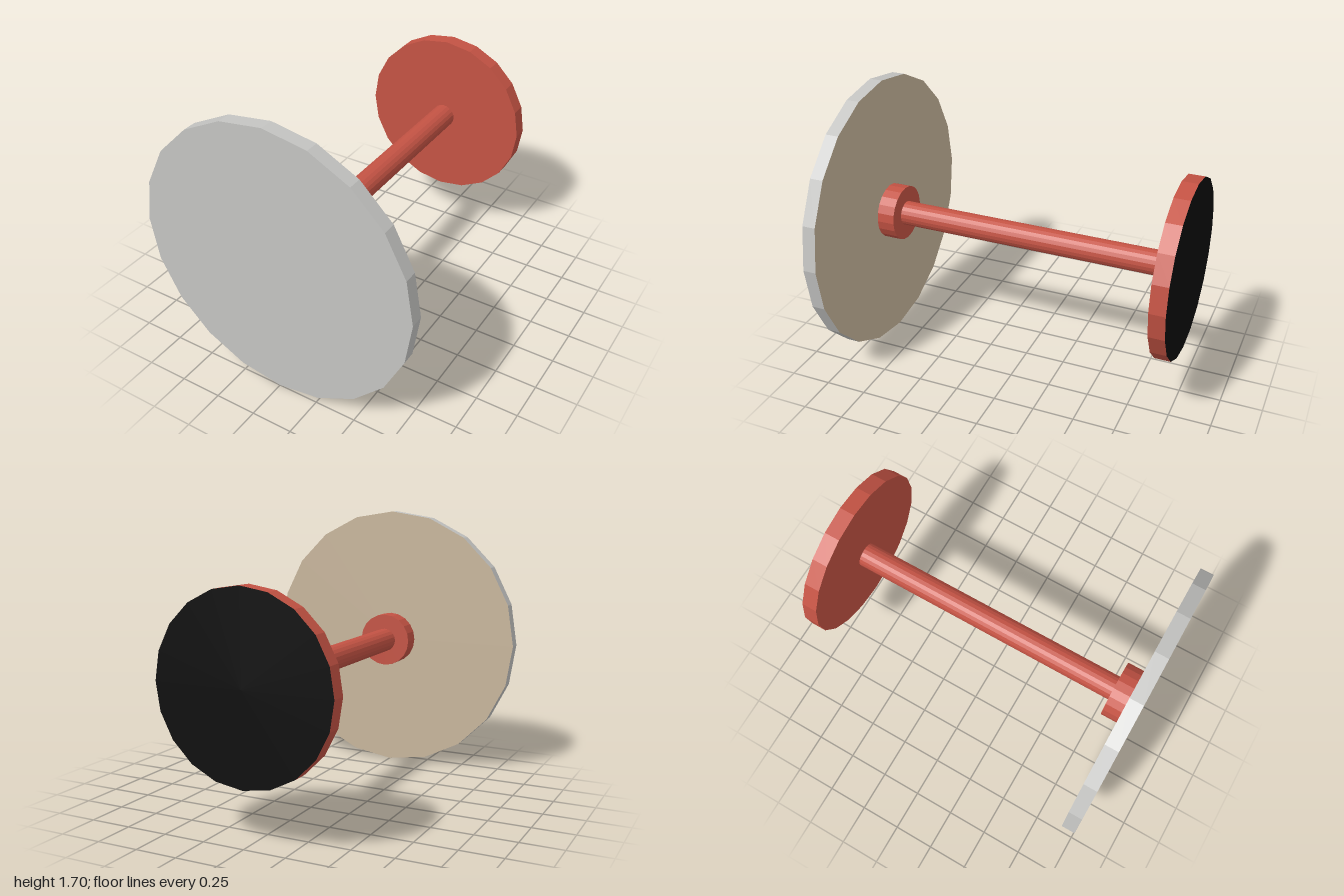
import * as THREE from 'three';

const mat = (name, color) => {
  const m = new THREE.MeshStandardMaterial({ color });
  m.name = name;
  return m;
};

export function createModel() {
  const grey = mat('grey', 0xc4c4c2);
  const tan = mat('tan', 0xc8b69c);
  const red = mat('red', 0xc45344);
  const black = mat('black', 0x0d0d0d);

  const group = new THREE.Group();
  const axisY = 0.85;

  // Faceted 20-sided disc along z; materials are [rim, front face, back face]
  const disc = (name, radius, zBack, zFront, materials) => {
    const geo = new THREE.CylinderGeometry(radius, radius, zFront - zBack, 20)
      .rotateX(Math.PI / 2)
      .toNonIndexed();
    geo.computeVertexNormals();
    const mesh = new THREE.Mesh(geo, materials);
    mesh.name = name;
    mesh.position.set(0, axisY, (zBack + zFront) / 2);
    group.add(mesh);
  };

  // Large front disc with a tan rear face
  disc('frontDisc', 0.85, 0.92, 1, [grey, grey, tan]);
  // Collar joining the rod to the front disc
  disc('collar', 0.17, 0.81, 0.92, red);
  // Long connecting rod
  disc('rod', 0.075, -0.905, 0.81, red);
  // Smaller end plate with a black rear face
  disc('endPlate', 0.53, -1, -0.905, [red, red, black]);

  return group;
}
